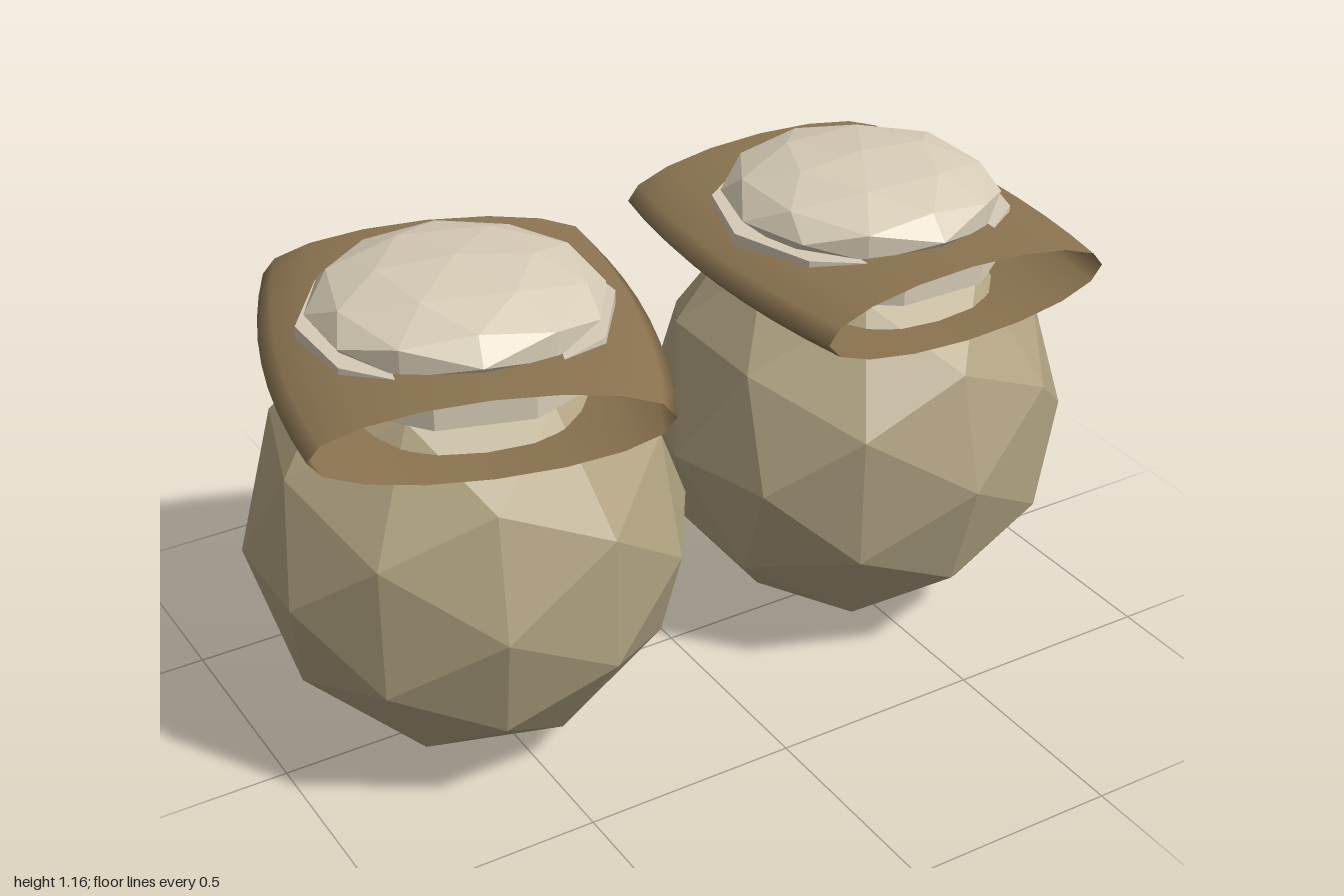
import * as THREE from 'three';

const bodyMat = new THREE.MeshStandardMaterial({ name: 'sackcloth', color: 0xb0a281, flatShading: true });
const collarMat = new THREE.MeshStandardMaterial({ name: 'brownCloth', color: 0x8a7350, side: THREE.DoubleSide });
const paleMat = new THREE.MeshStandardMaterial({ name: 'paleContents', color: 0xd6cbb6, flatShading: true });

function addPart(parent, name, geometry, material, y) {
  const mesh = new THREE.Mesh(geometry, material);
  mesh.name = name;
  mesh.position.y = y;
  parent.add(mesh);
}

// Flattened open sleeve along z, slightly wider at its middle
function collarGeometry() {
  const geo = new THREE.CylinderGeometry(1, 1, 2, 16, 8, true).rotateX(Math.PI / 2);
  const p = geo.attributes.position;
  for (let i = 0; i < p.count; i++) {
    const z = p.getZ(i);
    const halfWidth = 0.37 + 0.045 * (1 - z * z);
    p.setXYZ(i, p.getX(i) * halfWidth, p.getY(i) * 0.09, z * 0.42);
  }
  geo.computeVertexNormals();
  return geo;
}

function makeSack(name, x, turn) {
  const sack = new THREE.Group();
  sack.name = name;
  sack.position.x = x;
  sack.rotation.y = turn;

  // Round faceted body
  addPart(sack, 'body', new THREE.IcosahedronGeometry(1, 1).scale(0.495, 0.51, 0.495), bodyMat, 0.513);

  // Cloth collar around the mouth
  addPart(sack, 'collar', collarGeometry(), collarMat, 0.96);

  // Ten-sided neck with a flat side at the front
  const neck = new THREE.CylinderGeometry(0.34, 0.34, 0.1, 10).rotateY(Math.PI / 10);
  addPart(sack, 'neck', neck, paleMat, 0.99);

  // Heaped contents on top
  addPart(sack, 'contents', new THREE.IcosahedronGeometry(1, 1).scale(0.32, 0.1, 0.32), paleMat, 1.065);
  return sack;
}

export function createModel() {
  const model = new THREE.Group();
  model.name = 'sackPair';
  model.add(makeSack('leftSack', 0.505, 0), makeSack('rightSack', -0.524, -0.3));
  return model;
}
